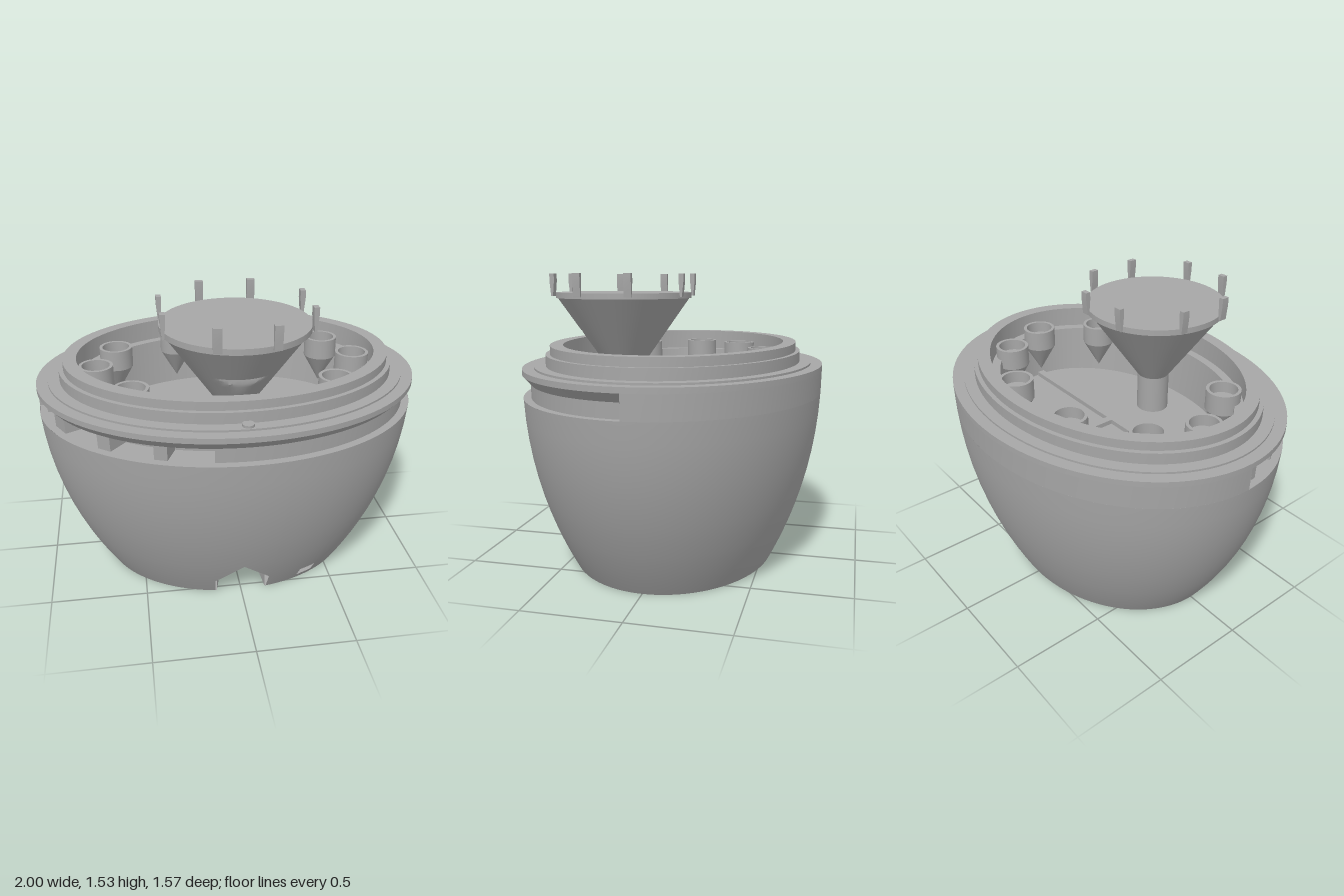
import * as THREE from 'three';
import { toCreasedNormals } from 'three/addons/utils/BufferGeometryUtils.js';

const grey = new THREE.MeshStandardMaterial({ color: 0xa6a6a6, side: THREE.DoubleSide });
grey.name = 'plain grey';

// Skin quads over a list of sections, each an array of [x, y, z]
function loft(sections, skip = () => false) {
  const pos = [];
  for (let c = 0; c < sections.length - 1; c++) {
    for (let i = 0; i < sections[c].length - 1; i++) {
      if (skip(c, i)) continue;
      const a = sections[c][i], b = sections[c + 1][i];
      const d = sections[c][i + 1], e = sections[c + 1][i + 1];
      pos.push(...a, ...b, ...e, ...a, ...e, ...d);
    }
  }
  const g = new THREE.BufferGeometry();
  g.setAttribute('position', new THREE.Float32BufferAttribute(pos, 3));
  return toCreasedNormals(g, 0.5);
}

function range(from, to, n) {
  return Array.from({ length: n + 1 }, (_, i) => from + (to - from) * i / n);
}

// Oval body: half-widths at a height
const bulge = y => 1 - Math.pow(Math.max(0, 1 - y / 1.05), 2.2);
const ovalPoint = (t, rx, rz, y) => [rx * Math.sin(t), y, rz * Math.cos(t)];
const bodyPoint = (t, y, inset = 0) =>
  ovalPoint(t, 0.69 + 0.31 * bulge(y) - inset, 0.54 + 0.245 * bulge(y) - inset, y);

// Height of the drop-shaped doorway above the base
function doorHeight(t) {
  const x = Math.abs(0.75 * Math.sin(t));
  if (Math.cos(t) < 0 || x > 0.142) return 0;
  return Math.max(0.06 + 0.09 * Math.sqrt(1 - (x / 0.142) ** 2), 0.23 - 0.9 * x);
}

export function createModel() {
  const model = new THREE.Group();
  function add(name, geometry, x = 0, y = 0, z = 0, parent = model) {
    const mesh = new THREE.Mesh(geometry, grey);
    mesh.name = name;
    mesh.position.set(x, y, z);
    parent.add(mesh);
    return mesh;
  }

  // Bowl with the doorway and a small side window cut out
  const angles = [...range(-Math.PI, -0.2, 60), ...range(-0.19, 0.19, 24),
    ...range(0.2, 0.457, 5), ...range(0.49, 0.6, 4), ...range(0.65, Math.PI, 50)];
  const levels = [0, 0.03, 0.08, 0.12, 0.16, 0.2, 0.24, 0.32, 0.4, 0.5, 0.6, 0.7, 0.8, 0.91];
  add('bowl', loft(
    angles.map(t => levels.map(y => bodyPoint(t, Math.max(y, doorHeight(t))))),
    (c, i) => i === 1 && angles[c] > 0.456 && angles[c] < 0.599));
  add('windowBack', new THREE.PlaneGeometry(0.16, 0.1), 0.365, 0.055, 0.4);

  // Front groove with four deep slots, and the plain band behind
  const columns = [[-Math.PI / 2, 0], [-Math.PI / 2, 0.04]];
  for (const [a, b] of [[-1.45, -1.22], [-1.087, -0.804], [-0.72, -0.47], [-0.4, -0.168]]) {
    columns.push([a, 0.04], ...range(a, b, 6).map(t => [t, 0.15]), [b, 0.04]);
  }
  columns.push(...range(-0.13, Math.PI / 2, 36).map(t => [t, 0.04]), [Math.PI / 2, 0]);
  add('frontGroove', loft(columns.map(([t, inset]) => [
    bodyPoint(t, 0.91), bodyPoint(t, 0.91, Math.min(inset, 0.04)), bodyPoint(t, 0.91, inset),
    bodyPoint(t, 0.985, inset), bodyPoint(t, 0.985, Math.min(inset, 0.04)), bodyPoint(t, 1.03)])));
  add('backBand', loft(range(Math.PI / 2, Math.PI * 1.5, 48)
    .map(t => [bodyPoint(t, 0.91), bodyPoint(t, 1.03)])));

  // Stepped rim, inner ledge, cavity wall and floor
  const rim = [[1, 0.785, 1.03], [1, 0.785, 1.058], [0.94, 0.725, 1.058], [0.94, 0.725, 1.068],
    [0.88, 0.665, 1.068], [0.88, 0.665, 1.125], [0.857, 0.642, 1.125], [0.857, 0.642, 1.17],
    [0.787, 0.575, 1.17], [0.787, 0.575, 1.06], [0.735, 0.53, 1.06], [0.71, 0.505, 0.8], [0, 0, 0.8]];
  add('rim', loft(range(0, Math.PI * 2, 96)
    .map(t => rim.map(([rx, rz, y]) => ovalPoint(t, rx, rz, y)))));
  add('rimPeg', new THREE.CylinderGeometry(0.03, 0.03, 0.03, 10), 0, 1.065, 0.69);

  // Low ridges on the cavity floor
  add('crossRidge', new THREE.BoxGeometry(1.4, 0.03, 0.04), 0, 0.81, 0);
  add('backRidge', new THREE.BoxGeometry(0.04, 0.03, 0.5), 0, 0.81, -0.26);

  // Cups on conical brackets around the cavity
  const cupProfile = [[0, -0.27], [0.09, -0.11], [0.09, 0], [0.073, 0], [0.073, -0.06], [0, -0.06]]
    .map(p => new THREE.Vector2(...p));
  const cup = toCreasedNormals(new THREE.LatheGeometry(cupProfile, 32), 0.5);
  for (const side of [-1, 1]) {
    for (const [x, z] of [[0.69, 0], [0.583, -0.255], [0.235, -0.45], [0.517, 0.31]]) {
      add('cup', cup, side * x, 1.12, z);
    }
  }

  // Funnel stand: post, cone with a small flat nick, and round plate
  const stand = new THREE.Group();
  stand.name = 'stand';
  stand.position.z = 0.295;
  model.add(stand);
  add('post', new THREE.CylinderGeometry(0.087, 0.087, 0.24, 32), 0, 0.91, 0, stand);
  const coneLevels = [1.01, 1.1, 1.17, 1.19, 1.21, 1.225, 1.226, 1.4];
  add('funnel', loft(range(0, Math.PI * 2, 64).map(t => coneLevels.map(y => {
    const r = 0.087 + (y - 1.01) * 0.7;
    const p = ovalPoint(t, r, r, y);
    if (y < 1.2255) p[2] = Math.min(p[2], 0.205);
    return p;
  }))), 0, 0, 0, stand);
  add('plate', new THREE.CylinderGeometry(0.37, 0.37, 0.03, 64), 0, 1.415, 0, stand);

  // Eight tapered prongs around the plate
  const prong = new THREE.BoxGeometry(0.04, 0.12, 0.026, 1, 2, 1);
  const p = prong.attributes.position;
  for (let i = 0; i < p.count; i++) {
    if (p.getY(i) < -0.01) p.setZ(i, p.getZ(i) * 0.4);
    if (Math.abs(p.getY(i)) < 0.01) p.setY(i, 0.02);
  }
  const prongGeometry = toCreasedNormals(prong, 0.3);
  for (let i = 0; i < 4; i++) {
    for (const s of [-0.135, 0.135]) {
      const holder = new THREE.Group();
      holder.name = 'prongHolder';
      holder.rotation.y = i * Math.PI / 2;
      stand.add(holder);
      add('prong', prongGeometry, s, 1.47, 0.358, holder);
    }
  }

  // Underside: base sheet with an angular pocket and four round sockets
  const pocket = [[-0.13, 0.53], [-0.1, 0.41], [-0.04, 0.2], [-0.31, 0.39], [-0.36, -0.07],
    [0.33, -0.2], [0.33, 0], [0.33, 0.2], [0.12, 0.4], [0.13, 0.53]];
  const outline = range(0.19, Math.PI * 2 - 0.19, 80)
    .map(t => [0.69 * Math.sin(t), 0.54 * Math.cos(t)]);
  const toShape = pts => new THREE.Shape(pts.map(q => new THREE.Vector2(...q)));
  const base = toShape([...outline, ...pocket]);
  for (const [x, z] of [[0.3, -0.28], [0.46, 0.035], [-0.38, -0.2], [-0.45, 0.155]]) {
    const hole = new THREE.Path();
    hole.absarc(x, z, 0.065, 0, Math.PI * 2);
    base.holes.push(hole);
    add('socketWall', new THREE.CylinderGeometry(0.065, 0.065, 0.07, 24, 1, true), x, 0.035, z);
    add('socketTop', new THREE.CircleGeometry(0.065, 24).rotateX(Math.PI / 2), x, 0.07, z);
  }
  add('base', new THREE.ShapeGeometry(base, 24).rotateX(Math.PI / 2));
  add('pocketWalls', loft(pocket.map(([x, z]) => [[x, 0, z], [x, 0.22, z]])));
  add('pocketCeiling', new THREE.ShapeGeometry(toShape(pocket)).rotateX(Math.PI / 2), 0, 0.22, 0);

  return model;
}
